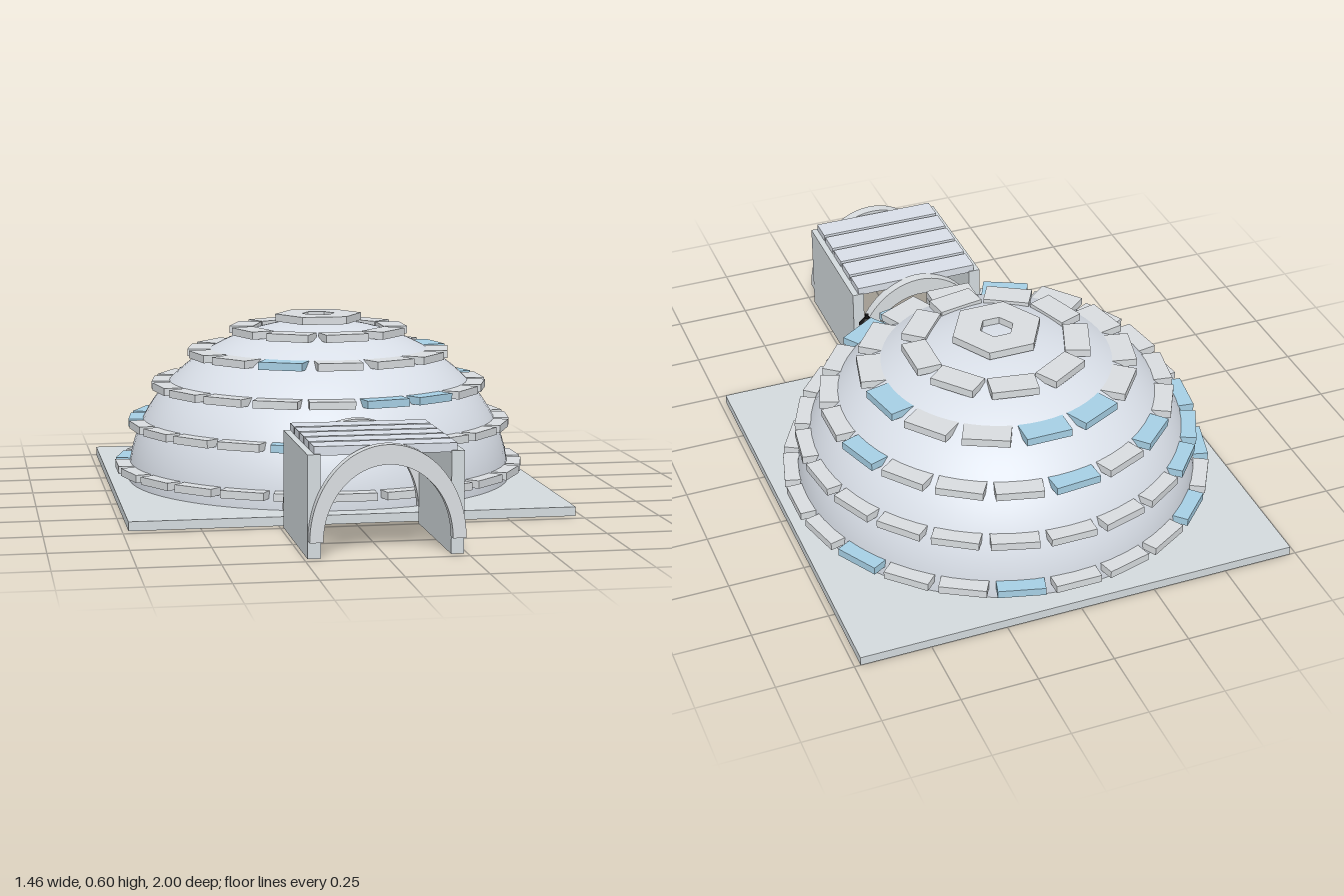
import * as THREE from 'three';

const paint = (name, color) => {
  const m = new THREE.MeshStandardMaterial({ color });
  m.name = name;
  return m;
};

export function createModel() {
  const group = new THREE.Group();
  const snow = paint('snow', 0xdde3ec);
  const brickGrey = paint('brick grey', 0xd8dcdf);
  const iceBlue = paint('ice blue', 0xa6cfe4);
  const slabGrey = paint('slab grey', 0xd3dadd);
  const black = paint('lantern black', 0x151515);
  const glass = paint('lantern glass', 0x4a4640);

  const add = (name, geometry, material, x, y, z, parent = group) => {
    const mesh = new THREE.Mesh(geometry, material);
    mesh.name = name;
    mesh.position.set(x, y, z);
    parent.add(mesh);
    return mesh;
  };

  // Ground slab
  const domeZ = -0.27;
  add('groundSlab', new THREE.BoxGeometry(1.46, 0.03, 1.46), slabGrey, 0, 0.015, domeZ);

  // Dome shell
  const dome = add('dome', new THREE.SphereGeometry(1, 64, 24, 0, Math.PI * 2, 0, Math.PI / 2),
    snow, 0, 0.03, domeZ);
  dome.scale.set(0.665, 0.55, 0.665);

  // Rings of bricks; every second ring is shifted by half a brick
  const rings = [
    { y: 0.08, r: 0.667, n: 24, blue: [13, 15, 19, 22] },
    { y: 0.23, r: 0.62, n: 22, blue: [6, 11, 12, 13] },
    { y: 0.36, r: 0.537, n: 19, blue: [3, 4, 12, 14, 18] },
    { y: 0.47, r: 0.41, n: 14, blue: [4, 9, 10, 13] },
    { y: 0.547, r: 0.259, n: 9, blue: [] },
    { y: 0.589, r: 0.09, n: 6, blue: [] },
  ];
  const brick = new THREE.BoxGeometry(0.082, 0.026, 0.152);
  rings.forEach(({ y, r, n, blue }, row) => {
    const ring = new THREE.Group();
    ring.name = 'brickRing' + (row + 1);
    ring.position.set(0, y, domeZ);
    group.add(ring);
    for (let i = 0; i < n; i++) {
      const a = ((i + (row % 2) / 2) / n) * Math.PI * 2;
      const isBlue = blue.includes(i);
      const b = add(isBlue ? 'iceBrick' : 'brick', brick, isBlue ? iceBlue : brickGrey,
        r * Math.cos(a), 0, r * Math.sin(a), ring);
      b.rotation.y = -a;
    }
  });

  // Entrance tunnel
  const tunnel = new THREE.Group();
  tunnel.name = 'entranceTunnel';
  group.add(tunnel);
  for (const s of [-1, 1]) {
    add('tunnelWall', new THREE.BoxGeometry(0.04, 0.315, 0.475), slabGrey, s * 0.219, 0.1575, 0.7275, tunnel);
  }
  for (let i = 0; i < 5; i++) {
    add('roofPlank', new THREE.BoxGeometry(0.436, 0.028, 0.082), snow, 0, 0.324, 0.534 + i * 0.0955, tunnel);
  }

  // Arched rims at both ends of the tunnel
  const rim = new THREE.Shape();
  rim.absellipse(0, 0, 0.238, 0.29, 0, Math.PI, false);
  rim.absellipse(0, 0, 0.197, 0.23, Math.PI, 0, true);
  rim.closePath();
  const rimGeometry = new THREE.ExtrudeGeometry(rim, { depth: 0.036, bevelEnabled: false, curveSegments: 24 });
  add('frontArch', rimGeometry, brickGrey, 0, 0.055, 0.964, tunnel);
  add('backArch', rimGeometry, brickGrey, 0, 0.055, 0.462, tunnel);

  // Lantern beside the entrance
  const lantern = new THREE.Group();
  lantern.name = 'lantern';
  lantern.position.set(0.226, 0, 0.38);
  group.add(lantern);
  add('lanternBase', new THREE.CylinderGeometry(0.024, 0.024, 0.012, 12), black, 0, 0.219, 0, lantern);
  add('lanternGlass', new THREE.CylinderGeometry(0.018, 0.018, 0.042, 12), glass, 0, 0.246, 0, lantern);
  add('lanternCap', new THREE.CylinderGeometry(0.01, 0.029, 0.024, 12), black, 0, 0.277, 0, lantern);
  add('lanternKnob', new THREE.CylinderGeometry(0.007, 0.007, 0.014, 8), black, 0, 0.295, 0, lantern);
  for (let i = 0; i < 4; i++) {
    const a = (i + 0.5) * Math.PI / 2;
    add('lanternBar', new THREE.BoxGeometry(0.008, 0.044, 0.008), black,
      0.018 * Math.cos(a), 0.246, 0.018 * Math.sin(a), lantern);
  }

  return group;
}
